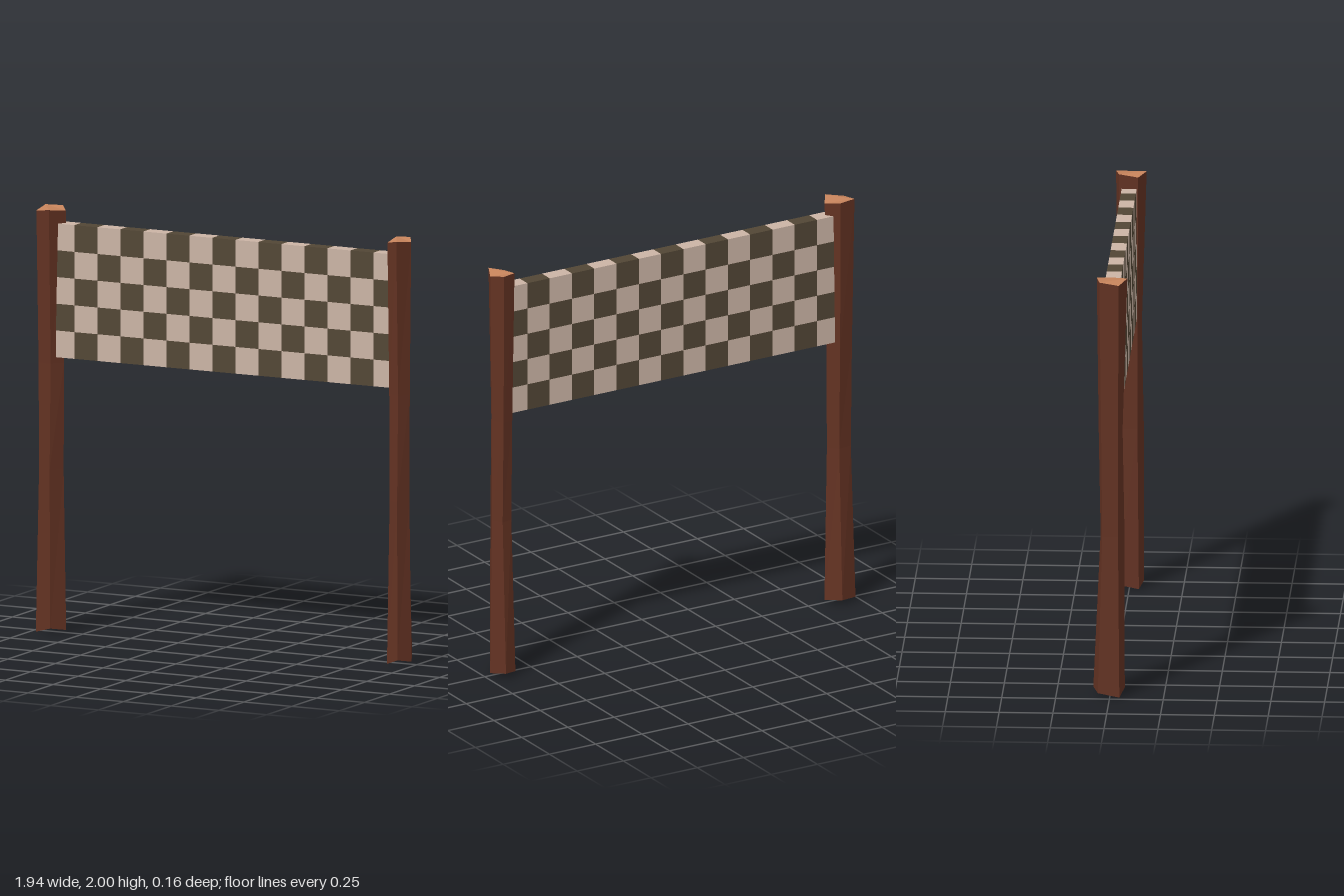
import * as THREE from 'three';

const mat = (name, color, extra = {}) => Object.assign(new THREE.MeshStandardMaterial({ color, ...extra }), { name });

// Post cross-sections, bottom to top: each point is [x, y, z], five per ring
const U = [-0.051, -0.051, 0.014, 0.051, 0.014];
const RINGS = [
  { s: 1.02, y: [0.02, 0.0, 0.025, 0.012, 0.028], z: [-0.055, 0.045, 0.066, 0, -0.08] },
  { s: 0.82, y: [0.77, 0.77, 0.77, 0.77, 0.77], z: [-0.035, 0.038, 0.065, 0, -0.046] },
  { s: 0.86, y: [1.27, 1.27, 1.27, 1.27, 1.27], z: [-0.04, 0.038, 0.056, 0, -0.055] },
  { s: 1.0, y: [2.0, 1.985, 1.998, 1.988, 2.0], z: [-0.048, 0.042, 0.078, 0, -0.064] },
];

function makePost(name, cx, scaleX, wood, cutWood) {
  const point = (r, k) => {
    const ring = RINGS[r], i = k % 5;
    return [cx + U[i] * ring.s * scaleX, ring.y[i], ring.z[i]];
  };
  const build = (tris) => {
    const g = new THREE.BufferGeometry();
    g.setAttribute('position', new THREE.Float32BufferAttribute(tris.flat(), 3));
    g.computeVertexNormals();
    return g;
  };
  const sides = [], ends = [], top = RINGS.length - 1;
  for (let k = 0; k < 5; k++) {
    for (let r = 0; r < top; r++) {
      const a = point(r, k), b = point(r, k + 1), c = point(r + 1, k + 1), d = point(r + 1, k);
      sides.push(a, b, c, a, c, d);
    }
  }
  // Cut ends as small fans
  for (let k = 1; k < 4; k++) {
    ends.push(point(top, 0), point(top, k), point(top, k + 1));
    ends.push(point(0, 0), point(0, k + 1), point(0, k));
  }
  const post = new THREE.Group();
  post.name = name;
  const shaft = new THREE.Mesh(build(sides), wood);
  shaft.name = name + 'Shaft';
  const cuts = new THREE.Mesh(build(ends), cutWood);
  cuts.name = name + 'CutEnds';
  post.add(shaft, cuts);
  return post;
}

function makeBanner(light, dark) {
  const cols = 15, rows = 5, cw = 0.1205, ch = 0.126;
  const w = cols * cw, h = rows * ch;
  const g = new THREE.BoxGeometry(w, h, 0.07, cols, rows, 1);
  const p = g.attributes.position, idx = g.index;
  g.clearGroups();
  // Give each square its checker colour; the pattern runs over the top and bottom edges
  for (let i = 0; i < idx.count; i += 6) {
    let x = 0, y = 0;
    for (let j = 0; j < 6; j++) {
      x += p.getX(idx.getX(i + j)) / 6;
      y += p.getY(idx.getX(i + j)) / 6;
    }
    const col = Math.min(cols - 1, Math.max(0, Math.floor((x + w / 2) / cw)));
    const row = Math.min(rows - 1, Math.max(0, Math.floor((h / 2 - y) / ch)));
    g.addGroup(i, 6, (col + row) % 2);
  }
  const banner = new THREE.Mesh(g, [light, dark]);
  banner.name = 'checkeredBanner';
  banner.position.set(0.007, 1.3 + h / 2, 0);
  return banner;
}

export function createModel() {
  const wood = mat('darkWood', 0x633222, { flatShading: true });
  const cutWood = mat('cutWood', 0xc6835b, { flatShading: true });
  const light = mat('lightCloth', 0xcbb4a5);
  const dark = mat('darkCloth', 0x524635);

  const model = new THREE.Group();
  model.name = 'finishGate';
  model.add(
    makePost('rightPost', -0.905, 1.3, wood, cutWood),
    makePost('leftPost', 0.919, 1, wood, cutWood),
    makeBanner(light, dark),
  );
  return model;
}
